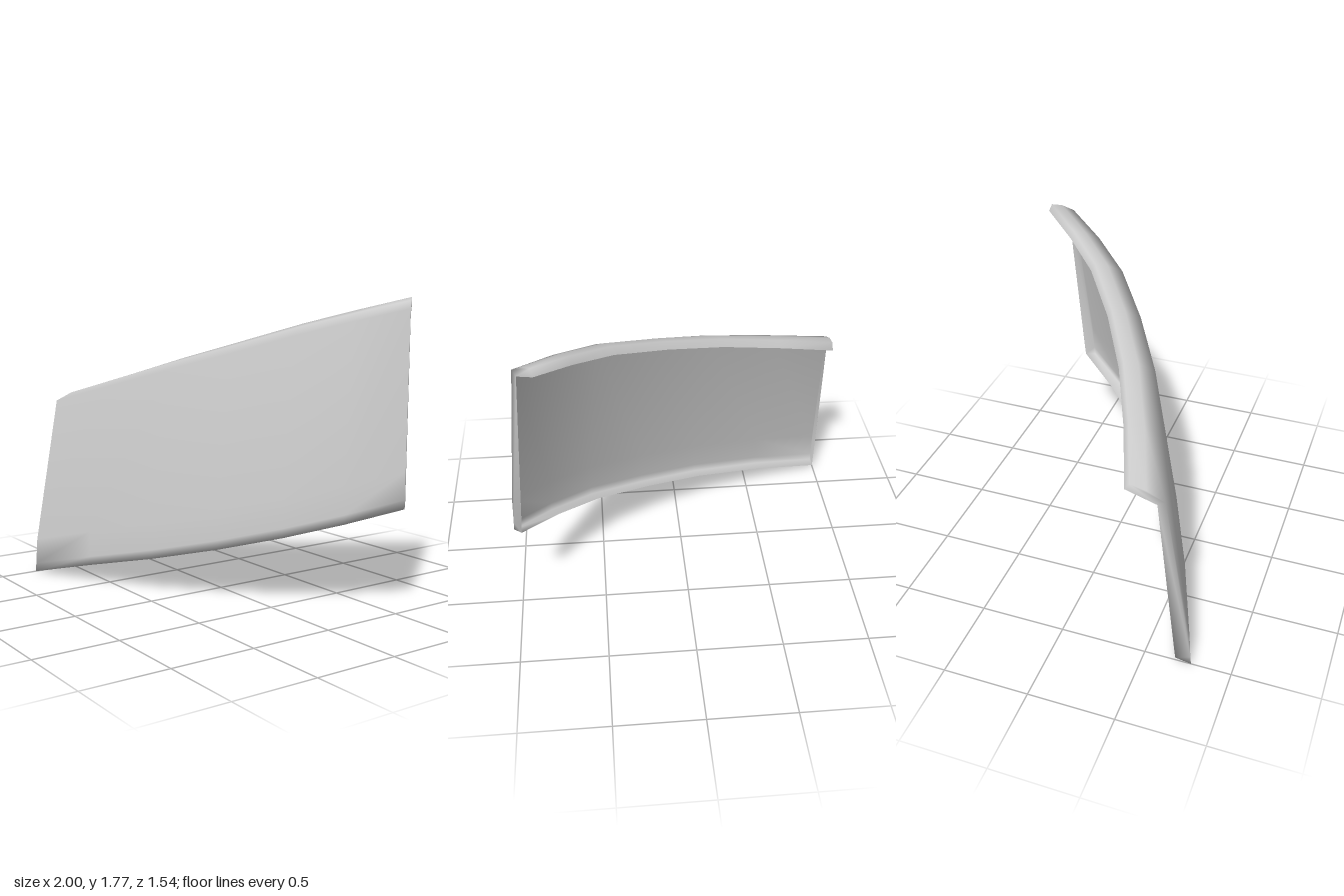
import * as THREE from 'three';

// Stations along the sweep: lower outer edge and upper rear edge, each [x, y, z]
const lowerRail = [
  [-1, 0, 0.77], [-0.57, 0.11, 0.61], [-0.13, 0.215, 0.42], [0.24, 0.315, 0.2],
  [0.56, 0.415, -0.03], [0.8, 0.505, -0.28], [1, 0.595, -0.55],
];
const upperRail = [
  [-0.99, 1.17, 0.37], [-0.63, 1.28, 0.24], [-0.26, 1.4, 0.08], [0.08, 1.51, -0.11],
  [0.39, 1.62, -0.33], [0.61, 1.7, -0.55], [0.8, 1.77, -0.77],
];

// Open sheet section as [depth, height] fractions between the two rails:
// bottom lip, outer skin, chamfered top flange, turned-down rear edge
const section = [
  [0.23, 0.012], [0, 0], [0.012, 0.045], [0.04, 0.18], [0.44, 0.945],
  [0.7, 0.985], [0.93, 1], [1, 0.965],
];
// Inner edge of the narrow rim that closes each end
const rimEdge = [[0.55, 0.922], [0.25, 0.06]];

function sheetPanel() {
  const n = section.length;
  const last = lowerRail.length - 1;
  const positions = [];
  const index = [];
  const addPoint = (s, [t, h]) => {
    const a = lowerRail[s], b = upperRail[s];
    const mix = THREE.MathUtils.lerp;
    positions.push(mix(a[0], b[0], t), mix(a[1], b[1], h), mix(a[2], b[2], t));
  };

  // skin between neighbouring stations
  for (let s = 0; s <= last; s++) {
    section.forEach((p) => addPoint(s, p));
    if (s === last) break;
    for (let i = 0; i < n - 1; i++) {
      const a = s * n + i, b = a + n;
      index.push(a, b, b + 1, a, b + 1, a + 1);
    }
  }

  // end rims, sharing vertices with the skin so the ends shade softly
  const outline = [...section, ...rimEdge].map(([t, h]) => new THREE.Vector2(-t, h));
  const triangles = THREE.ShapeUtils.triangulateShape(outline, []);
  for (const s of [0, last]) {
    const extra = positions.length / 3;
    rimEdge.forEach((p) => addPoint(s, p));
    const vertex = (i) => (i < n ? s * n + i : extra + i - n);
    for (const [a, b, c] of triangles) {
      const corners = s === 0 ? [a, b, c] : [a, c, b];
      index.push(...corners.map(vertex));
    }
  }

  const geometry = new THREE.BufferGeometry();
  geometry.setAttribute('position', new THREE.Float32BufferAttribute(positions, 3));
  geometry.setIndex(index);
  geometry.computeVertexNormals();
  return geometry;
}

export function createModel() {
  const model = new THREE.Group();
  model.name = 'curvedPanel';
  const material = new THREE.MeshStandardMaterial({ color: 0xcccccc, side: THREE.DoubleSide });
  const panel = new THREE.Mesh(sheetPanel(), material);
  panel.name = 'flangedPanel';
  model.add(panel);
  return model;
}
